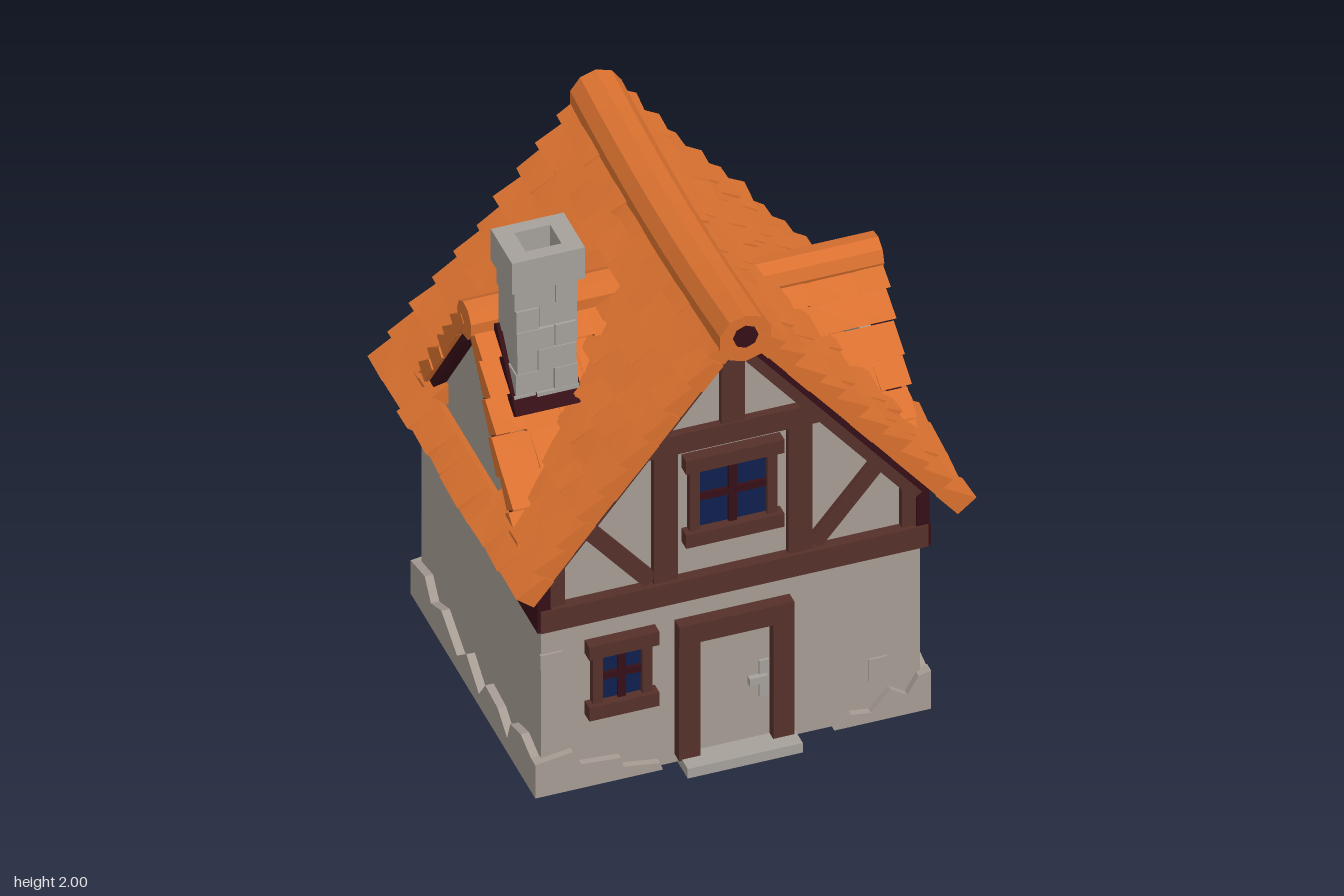
import * as THREE from 'three';
import { mergeGeometries } from 'three/addons/utils/BufferGeometryUtils.js';

const mat = (name, color) => Object.assign(new THREE.MeshStandardMaterial({ color }), { name });
const M = {
  plaster: mat('plaster', 0xa59b93),
  stone: mat('stone', 0xa5a09a),
  wood: mat('brown timber', 0x56302a),
  dark: mat('dark timber', 0x350f16),
  tile: mat('orange tile', 0xd8702f),
  glass: mat('blue glass', 0x0f1f4c),
  soot: mat('soot', 0x44353a),
};

let seed = 7;
const rnd = (a = -1, b = 1) => {
  seed = (seed * 16807) % 2147483647;
  return a + (b - a) * (seed / 2147483647);
};

function add(parent, name, geo, material) {
  const m = new THREE.Mesh(geo, material);
  m.name = name;
  parent.add(m);
  return m;
}

// Box given by its extents
function box(parent, name, material, x0, x1, y0, y1, z0, z1) {
  const m = add(parent, name, new THREE.BoxGeometry(x1 - x0, y1 - y0, z1 - z0), material);
  m.position.set((x0 + x1) / 2, (y0 + y1) / 2, (z0 + z1) / 2);
  return m;
}

// Timber between two points of the xy plane
function beam(parent, name, material, x0, y0, x1, y1, width, z0, z1) {
  const m = add(parent, name, new THREE.BoxGeometry(Math.hypot(x1 - x0, y1 - y0), width, z1 - z0), material);
  m.position.set((x0 + x1) / 2, (y0 + y1) / 2, (z0 + z1) / 2);
  m.rotation.z = Math.atan2(y1 - y0, x1 - x0);
  return m;
}

// Flat polygon in xy with thickness from z0 to z1
function slab(parent, name, material, pts, z0, z1) {
  const shape = new THREE.Shape(pts.map(([x, y]) => new THREE.Vector2(x, y)));
  const geo = new THREE.ExtrudeGeometry(shape, { depth: z1 - z0, bevelEnabled: false }).translate(0, 0, z0);
  return add(parent, name, geo, material);
}

// Overlapping tiles on a slope from (0, top) to (a1, h1); span(row) gives the range along the ridge
function tiledSlope(top, a1, h1, rows, span, { sag = 0, skip = () => false } = {}) {
  const len = Math.hypot(a1, top - h1), nx = (top - h1) / len, ny = a1 / len;
  const geos = [];
  for (let r = 0; r < rows; r++) {
    const [s, e] = span(r / rows);
    const u0 = s + rnd(-0.008, 0.008), u1 = e + rnd(-0.008, 0.008);
    const n = Math.max(1, Math.round((u1 - u0) / 0.14));
    const cuts = Array.from({ length: n + 1 }, (_, i) =>
      u0 + (u1 - u0) * (i + (i && i < n ? rnd(-0.25, 0.25) : 0)) / n);
    for (let i = 0; i < n; i++) {
      if (skip(r, (cuts[i] + cuts[i + 1]) / 2)) continue;
      const t1 = (r + 1 + rnd(-0.06, 0.06)) / rows;
      const lift = 0.082 + rnd(-0.007, 0.007), tilt = rnd(-0.006, 0.006);
      const g = new THREE.BoxGeometry(2, 2, 2), p = g.attributes.position;
      for (let k = 0; k < p.count; k++) {
        const low = p.getX(k) > 0, out = p.getY(k) > 0, far = p.getZ(k) > 0;
        const t = low ? t1 : r / rows, u = cuts[far ? i + 1 : i];
        const o = out ? (low ? lift + (far ? tilt : -tilt) : 0.04) : 0;
        const drop = sag * (1 - t) * (1 - (u / 0.72) ** 2);
        p.setXYZ(k, a1 * t + nx * o, top + (h1 - top) * t + ny * o - drop, u);
      }
      g.computeVertexNormals();
      geos.push(g);
    }
  }
  return mergeGeometries(geos);
}

// Window on the wall plane z
function windowUnit(parent, cx, cy, w, h, z) {
  const g = new THREE.Group();
  g.name = 'window';
  g.position.set(cx, cy, z);
  parent.add(g);
  const x = w / 2, y = h / 2;
  box(g, 'glass', M.glass, -x, x, -y, y, 0, 0.009);
  for (const s of [-1, 1]) {
    box(g, 'jamb', M.wood, s * (x + 0.018) - 0.018, s * (x + 0.018) + 0.018, -y, y, -0.01, 0.03);
    box(g, 'lintelOrSill', M.wood, -x - 0.055, x + 0.055, s * (y + 0.028) - 0.028, s * (y + 0.028) + 0.028, -0.01, 0.045);
  }
  box(g, 'mullion', M.dark, -0.014, 0.014, -y, y, 0, 0.022);
  box(g, 'crossbar', M.dark, -x, x, -0.014, 0.014, 0, 0.02);
}

// Timber framing of one gable end, facing +z
function gableEnd() {
  const g = new THREE.Group();
  g.name = 'gableEnd';
  box(g, 'sillBeam', M.wood, -0.69, 0.69, 0.7, 0.79, 0.56, 0.616);
  box(g, 'collarBeam', M.wood, -0.36, 0.36, 1.32, 1.4, 0.56, 0.606);
  box(g, 'kingPost', M.wood, -0.042, 0.042, 1.4, 1.76, 0.56, 0.6);
  for (const s of [-1, 1]) {
    box(g, 'post', M.wood, s * 0.24 - 0.043, s * 0.24 + 0.043, 0.79, 1.32, 0.56, 0.6);
    box(g, 'sidePost', M.wood, s * 0.63 - 0.03, s * 0.63 + 0.03, 0.79, 0.99, 0.56, 0.6);
    beam(g, 'brace', M.wood, s * 0.29, 0.8, s * 0.52, 1.08, 0.06, 0.56, 0.595);
    beam(g, 'bargeBoard', M.dark, 0, 1.8, s * 0.69, 0.945, 0.04, 0.56, 0.63);
    beam(g, 'rafter', M.wood, 0, 1.745, s * 0.66, 0.925, 0.055, 0.56, 0.61);
  }
  windowUnit(g, 0, 1.108, 0.24, 0.255, 0.575);
  return g;
}

// Triangular dormer facing +x
function dormer(apex, half) {
  const g = new THREE.Group();
  g.name = 'dormer';
  const back = (y) => (1.93 - y) / 1.24 - 0.05;
  const span = (t) => [back(apex + (0.95 - apex) * t + 0.06), 0.73];
  const flip = (t) => span(t).map((v) => -v).reverse();
  add(g, 'dormerTiles', tiledSlope(apex, half, 0.95, 6, flip).rotateY(-Math.PI / 2), M.tile);
  add(g, 'dormerTiles', tiledSlope(apex, half, 0.95, 6, span).rotateY(Math.PI / 2), M.tile);
  const x0 = back(apex + 0.09), len = 0.735 - x0;
  const cap = add(g, 'dormerRidge', new THREE.CylinderGeometry(0.07, 0.07, len, 9).toNonIndexed(), M.tile);
  cap.geometry.computeVertexNormals();
  cap.rotation.z = Math.PI / 2;
  cap.position.set(x0 + len / 2, apex + 0.018, 0);
  const face = new THREE.Group();
  face.name = 'dormerFace';
  face.rotation.y = Math.PI / 2;
  g.add(face);
  slab(face, 'dormerWall', M.plaster, [[-half, 0.95], [half, 0.95], [0, apex]], 0.62, 0.675);
  for (const s of [-1, 1])
    beam(face, 'dormerRafter', M.dark, 0, apex - 0.02, s * half, 0.93, 0.035, 0.66, 0.715);
  return g;
}

function createModel() {
  const house = new THREE.Group();
  house.name = 'cottage';

  // Ground floor, and upper storey as a gabled prism
  box(house, 'groundFloor', M.plaster, -0.675, 0.675, 0, 0.7, -0.573, 0.575);
  slab(house, 'upperStorey', M.plaster,
    [[-0.66, 0.7], [0.66, 0.7], [0.66, 1.0], [0, 1.82], [-0.66, 1.0]], -0.575, 0.575);
  for (const turn of [0, Math.PI]) {
    const end = gableEnd();
    end.rotation.y = turn;
    house.add(end);
  }

  // Side framing under the eaves
  for (const s of [-1, 1]) {
    const x0 = Math.min(s * 0.65, s * 0.7), x1 = x0 + 0.05;
    box(house, 'sideBeam', M.dark, x0, x1, 0.7, 0.79, -0.61, 0.61);
    for (const [z, w] of [[-0.56, 0.05], [-0.18, 0.035], [0.2, 0.035], [0.56, 0.05]])
      box(house, 'sideStud', M.dark, x0, x1 - 0.005, 0.79, 0.95, z - w, z + w);
  }

  // Rough stone footing
  const side = [[-0.595, 0], [0.59, 0], [0.59, 0.13], [0.46, 0.17], [0.36, 0.14], [0.33, 0.06], [0.24, 0.12],
    [0.12, 0.13], [0.06, 0.05], [-0.06, 0.13], [-0.15, 0.06], [-0.3, 0.14], [-0.4, 0.1], [-0.46, 0.17], [-0.595, 0.14]];
  for (const s of [-1, 1])
    slab(house, 'sideFooting', M.plaster, side, 0.66, 0.705).rotation.y = s * Math.PI / 2;
  const right = [[0.36, 0], [0.705, 0], [0.705, 0.16], [0.66, 0.15], [0.62, 0.08], [0.56, 0.12], [0.49, 0.04], [0.42, 0.05]];
  const left = [[-0.705, 0], [-0.25, 0], [-0.26, 0.03], [-0.39, 0.05], [-0.4, 0.09], [-0.54, 0.1], [-0.57, 0.16], [-0.705, 0.14]];
  for (const pts of [right, left]) {
    slab(house, 'frontFooting', M.plaster, pts, 0.56, 0.6);
    slab(house, 'backFooting', M.plaster, pts.map(([x, y]) => [-x, y]).reverse(), 0.56, 0.595).rotation.y = Math.PI;
  }
  box(house, 'looseStone', M.plaster, 0.49, 0.555, 0.16, 0.25, 0.57, 0.583);
  box(house, 'looseStone', M.plaster, -0.68, -0.6, 0.52, 0.58, 0.57, 0.583);
  box(house, 'looseStone', M.plaster, 0.67, 0.685, 0.17, 0.24, 0.16, 0.28);

  // Door with frame, latch and step
  box(house, 'door', M.plaster, -0.13, 0.14, 0.03, 0.53, 0.57, 0.585);
  box(house, 'doorJamb', M.wood, -0.2, -0.125, 0.035, 0.53, 0.56, 0.62);
  box(house, 'doorJamb', M.wood, 0.135, 0.21, 0.035, 0.53, 0.56, 0.62);
  box(house, 'doorLintel', M.wood, -0.2, 0.21, 0.52, 0.6, 0.56, 0.622);
  box(house, 'latchPlate', M.stone, 0.095, 0.13, 0.21, 0.36, 0.58, 0.595);
  box(house, 'latchHandle', M.stone, 0.055, 0.12, 0.275, 0.305, 0.59, 0.61);
  box(house, 'doorStep', M.stone, -0.19, 0.22, 0, 0.04, 0.56, 0.675);
  windowUnit(house, -0.395, 0.445, 0.14, 0.2, 0.575);

  // Main roof
  for (const turn of [0, Math.PI]) {
    const geo = tiledSlope(1.83, 0.755, 0.893, 10, (t) => {
      const e = 0.7 + 0.015 * Math.abs(2 * t - 0.9);
      return [-e, e];
    }, { sag: 0.035, skip: (r, u) => r === 8 && Math.abs(u) < 0.28 });
    add(house, 'roofTiles', geo.rotateY(turn), M.tile);
  }

  // Sagging ridge cap
  const ridge = new THREE.CylinderGeometry(0.096, 0.096, 1.435, 10, 8).rotateX(Math.PI / 2).toNonIndexed();
  const rp = ridge.attributes.position;
  for (let i = 0; i < rp.count; i++)
    rp.setY(i, rp.getY(i) + 1.836 - 0.04 * (1 - (rp.getZ(i) / 0.72) ** 2));
  ridge.computeVertexNormals();
  add(house, 'ridgeCap', ridge, M.tile);
  for (const s of [-1, 1]) {
    const hole = add(house, 'ridgeEnd', new THREE.CylinderGeometry(0.045, 0.045, 0.008, 8), M.dark);
    hole.rotation.x = Math.PI / 2;
    hole.position.set(0, 1.845, s * 0.718);
  }

  // Dormers; the left-hand and right-hand roofs differ in height
  house.add(dormer(1.47, 0.43));
  const tall = dormer(1.575, 0.46);
  tall.rotation.y = Math.PI;
  house.add(tall);

  // Chimney of stacked blocks with a hollow cap
  const chimney = new THREE.Group();
  chimney.name = 'chimney';
  chimney.position.set(-0.533, 0, 0.162);
  house.add(chimney);
  box(chimney, 'shaftCore', M.stone, -0.098, 0.098, 1.2, 1.88, -0.075, 0.075);
  for (let r = 0; r < 6; r++) {
    const y = 1.33 + r * 0.09, split = (r % 2 ? 0.03 : -0.03) + rnd(-0.01, 0.01);
    const w = 0.107 + 0.0012 * (r - 3) ** 2, d = 0.085;
    box(chimney, 'shaftBlock', M.stone, -w + rnd(-0.004, 0.004), split - 0.002, y, y + 0.087, -d, d + rnd(-0.004, 0.004));
    box(chimney, 'shaftBlock', M.stone, split + 0.002, w + rnd(-0.004, 0.004), y, y + 0.087, -d, d + rnd(-0.004, 0.004));
  }
  const flashing = add(chimney, 'flashing', new THREE.BoxGeometry(0.24, 0.05, 0.32), M.dark);
  flashing.position.y = 1.475;
  flashing.rotation.x = 0.93;
  const rim = new THREE.Shape([[-0.13, -0.102], [0.13, -0.102], [0.13, 0.102], [-0.13, 0.102]].map((p) => new THREE.Vector2(...p)));
  rim.holes.push(new THREE.Path([[-0.064, -0.054], [-0.064, 0.054], [0.064, 0.054], [0.064, -0.054]].map((p) => new THREE.Vector2(...p))));
  const cap = add(chimney, 'chimneyCap', new THREE.ExtrudeGeometry(rim, { depth: 0.13, bevelEnabled: false }), M.stone);
  cap.rotation.x = -Math.PI / 2;
  cap.position.y = 1.87;
  box(chimney, 'flue', M.soot, -0.07, 0.07, 1.885, 1.893, -0.06, 0.06);

  return house;
}

export { createModel };
